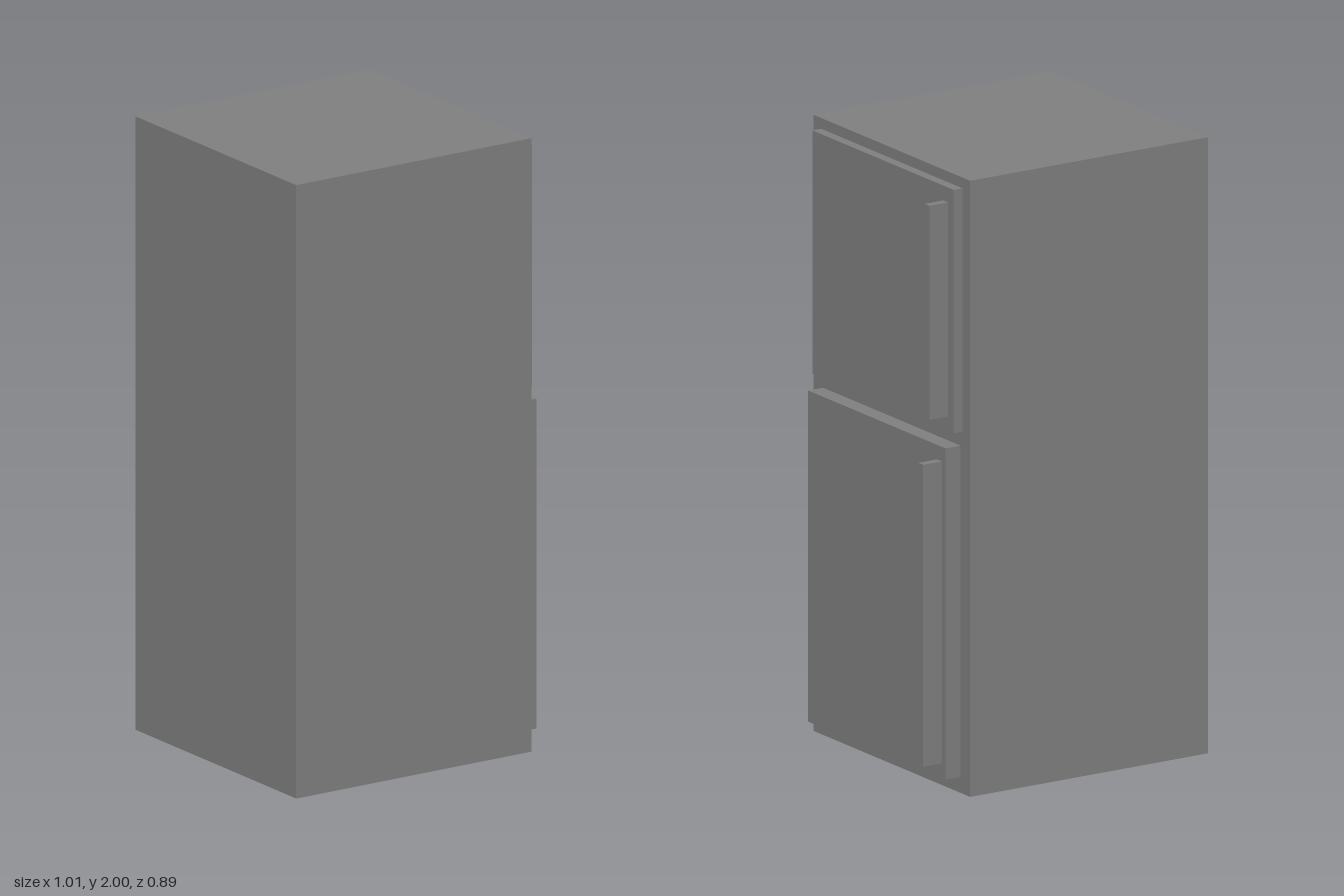
import * as THREE from 'three';

export function createModel() {
  const group = new THREE.Group();
  group.name = 'refrigerator';
  const grey = new THREE.MeshStandardMaterial({ color: 0x808080 });
  grey.name = 'grey';

  // Box given by its limits on each axis
  function box(name, [x0, x1], [y0, y1], [z0, z1]) {
    const mesh = new THREE.Mesh(new THREE.BoxGeometry(x1 - x0, y1 - y0, z1 - z0), grey);
    mesh.position.set((x0 + x1) / 2, (y0 + y1) / 2, (z0 + z1) / 2);
    mesh.name = name;
    group.add(mesh);
  }

  // Cabinet, with its doors on the +x side
  const face = 0.381;
  box('cabinet', [-0.507, face], [0, 2], [-0.444, 0.444]);

  // Each door carries a vertical bar handle near its back edge
  const doors = [
    { name: 'freezer', front: 0.414, y: [1.175, 1.965], halfWidth: 0.4, grip: [1.222, 1.917] },
    { name: 'fridge', front: 0.437, y: [0.052, 1.127], halfWidth: 0.389, grip: [0.1, 1.08] },
  ];
  for (const { name, front, y, halfWidth, grip } of doors) {
    box(name + 'Door', [face, front], y, [-halfWidth, halfWidth]);
    box(name + 'Handle', [front, front + 0.07], grip, [-0.369, -0.342]);
  }
  return group;
}
